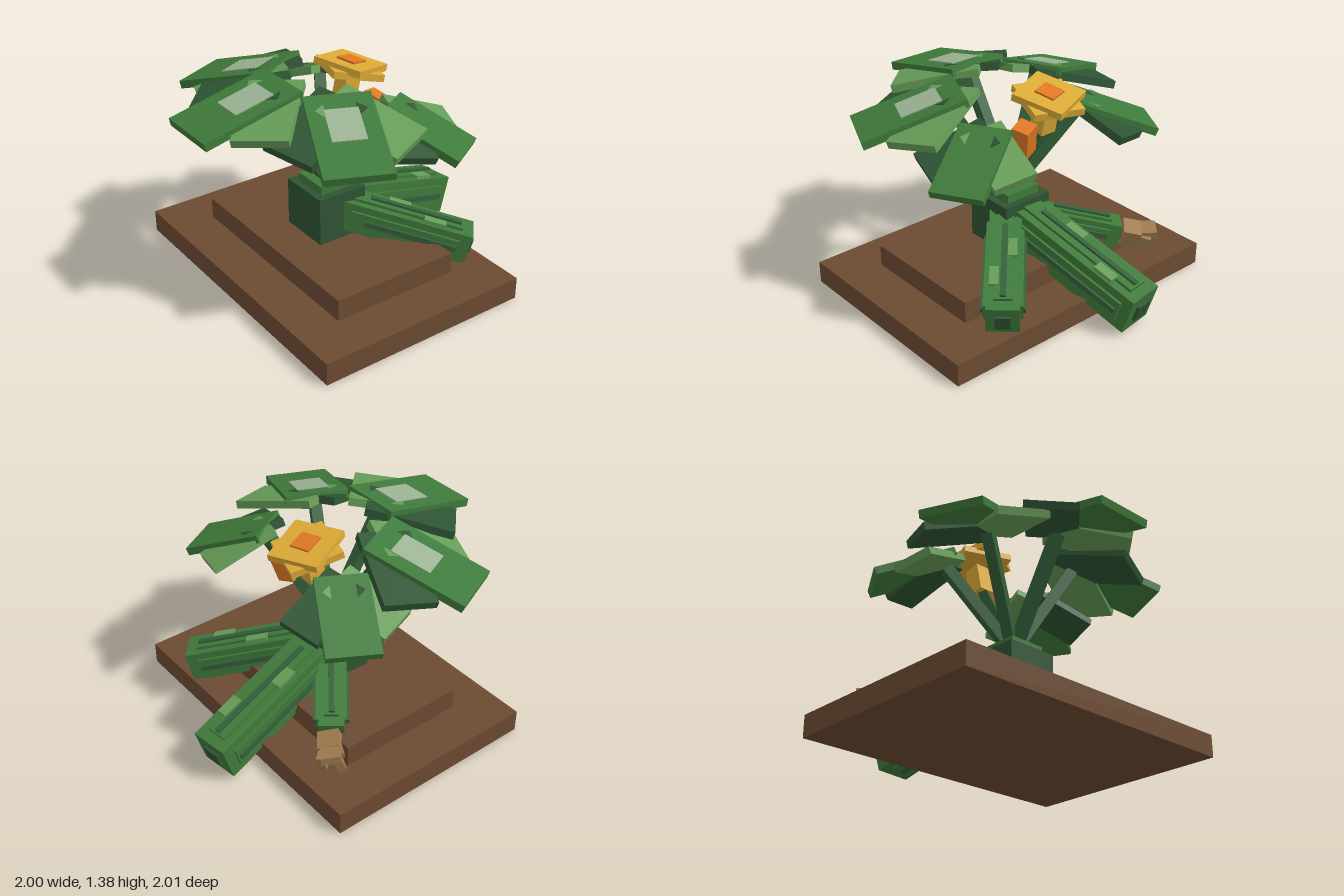
import * as THREE from 'three';

const mat = (name, color) => Object.assign(new THREE.MeshStandardMaterial({ color }), { name });

export function createModel() {
  const soil = mat('soil', 0x6b4a32);
  const darkGreen = mat('dark green', 0x2e5433);
  const stalkGreen = mat('stalk green', 0x34603a);
  const green = mat('leaf green', 0x3f7a3b);
  const lightGreen = mat('light green', 0x669c57);
  const pale = mat('pale leaf mark', 0x9bb394);
  const yellow = mat('petal yellow', 0xdcaa36);
  const orange = mat('orange', 0xe07824);
  const tan = mat('dried flower tan', 0xa07c50);

  const root = new THREE.Group();
  root.name = 'vegetablePlant';

  const box = (parent, name, material, size, pos, rot = [0, 0, 0]) => {
    const m = new THREE.Mesh(new THREE.BoxGeometry(...size), material);
    m.name = name;
    m.position.set(...pos);
    m.rotation.set(...rot);
    parent.add(m);
    return m;
  };
  const group = (name, pos, parent = root) => {
    const g = new THREE.Group();
    g.name = name;
    g.position.set(...pos);
    parent.add(g);
    return g;
  };
  // square bar running from a to b
  const beam = (name, material, a, b, w) => {
    const A = new THREE.Vector3(...a), B = new THREE.Vector3(...b);
    const m = box(root, name, material, [w, w, A.distanceTo(B)], A.clone().lerp(B, 0.5).toArray());
    m.lookAt(B);
  };

  // stepped soil bed and central stem
  box(root, 'soilBase', soil, [2, 0.145, 1.425], [0, 0.0725, 0.05]);
  box(root, 'soilMound', soil, [1.43, 0.14, 0.855], [0, 0.215, 0.052]);
  box(root, 'stem', darkGreen, [0.35, 0.32, 0.34], [0, 0.44, 0.055]);
  box(root, 'stemCap', green, [0.25, 0.055, 0.25], [0, 0.6275, 0.055]);

  // leaves: a main plate over two side lobes, arranged around the stem
  const crown = [0, 0.62, 0.055];
  const leaf = (dx, dz, r, y, pitch, scale, marked) => {
    const turn = group('leaf', [0, 0, 0.055]);
    turn.rotation.y = Math.atan2(dx, dz);
    const g = group('leafBlade', [0, y, r], turn);
    g.rotation.x = pitch;
    g.scale.set(scale, 1, scale);
    box(g, 'mainBlade', green, [0.4, 0.05, 0.66], [0, 0, 0]);
    for (const s of [-1, 1]) {
      const lobe = group('lobe', [s * 0.155, -0.025, -0.115], g);
      lobe.rotation.z = -s * 0.1;
      box(lobe, 'sideLobe', s > 0 ? lightGreen : darkGreen, [0.33, 0.05, 0.55], [0, 0, 0], [0, s * Math.PI / 4, 0]);
    }
    if (marked) box(g, 'leafMark', pale, [0.2, 0.008, 0.26], [0, 0.028, -0.07]);
    const q = r - 0.22;
    beam('leafStalk', stalkGreen, crown, [dx * q, y + 0.2 * pitch - 0.03, 0.055 + dz * q], 0.07);
  };
  leaf(0, 1, 0.62, 1.28, 0.22, 1, true);
  for (const s of [-1, 1]) {
    leaf(s * 0.91, 0.41, 0.62, 1.225, 0.3, 1, true);
    leaf(s * 0.865, -0.5, 0.646, 1.1, 0.4, 0.8, false);
  }

  // open flower
  beam('flowerStalk', stalkGreen, crown, [-0.09, 1.1, -0.14], 0.06);
  const flower = group('flower', [-0.09, 1.29, -0.19]);
  flower.rotation.x = -0.22;
  box(flower, 'flowerTube', yellow, [0.11, 0.22, 0.11], [0, -0.12, 0]);
  box(flower, 'lowerPetals', yellow, [0.33, 0.045, 0.33], [0, -0.015, 0], [0, -0.28, 0]);
  box(flower, 'upperPetals', yellow, [0.33, 0.045, 0.33], [0, 0.015, 0], [0, 0.38, 0]);
  box(flower, 'flowerCentre', orange, [0.13, 0.02, 0.13], [0, 0.04, 0], [0, 0.3, 0]);

  // closed bud
  beam('budStalk', stalkGreen, crown, [0.1, 1.02, -0.17], 0.06);
  box(root, 'flowerBud', orange, [0.11, 0.2, 0.11], [0.11, 1.085, -0.2], [-0.2, 0.35, -0.2]);

  // ribbed fruits lying on the soil
  const fruit = (a, b, w, marks) => {
    const A = new THREE.Vector3(...a), B = new THREE.Vector3(...b), L = A.distanceTo(B);
    const g = group('fruit', A.clone().lerp(B, 0.5).toArray());
    g.lookAt(B);
    box(g, 'fruitBody', green, [w, w, L], [0, 0, 0]);
    box(g, 'sideRidges', green, [w + 0.035, w * 0.55, L - 0.14], [0, 0, 0]);
    box(g, 'topRidges', green, [w * 0.55, w + 0.035, L - 0.14], [0, 0, 0]);
    for (let i = 0; i < 4; i++) {
      const c = (w + 0.045) / 2, t = i * Math.PI / 2;
      box(g, 'rib', stalkGreen, [0.035, 0.02, L - 0.25], [-c * Math.sin(t), c * Math.cos(t), 0.04], [0, 0, t]);
    }
    for (const [x, z] of marks) {
      box(g, 'fruitMark', lightGreen, [w * 0.28, 0.03, 0.14], [x * w, w / 2 + 0.008, z * L]);
    }
    box(g, 'blossomEnd', darkGreen, [w * 0.45, w * 0.45, 0.02], [0, 0, L / 2 + 0.008]);
  };
  fruit([-0.02, 0.45, 0], [-0.155, 0.15, -0.95], 0.25, [[-0.3, 0.24], [0.22, -0.1]]);
  fruit([0.08, 0.44, 0], [0.62, 0.23, -0.6], 0.2, [[-0.28, 0.2], [0.25, -0.08]]);
  fruit([-0.08, 0.43, 0], [-0.55, 0.28, -0.37], 0.155, []);

  // dried flower on the youngest fruit
  const dried = group('driedFlower', [-0.61, 0.265, -0.42]);
  dried.lookAt(-1.08, 0.12, -0.79);
  box(dried, 'driedBase', tan, [0.13, 0.13, 0.12], [0, 0, 0], [0, 0, 0.3]);
  box(dried, 'driedPetal', tan, [0.12, 0.05, 0.14], [0, 0.045, 0.09], [-0.25, 0, 0.2]);
  box(dried, 'driedPetal', tan, [0.05, 0.12, 0.12], [0.04, -0.02, 0.09], [0, 0.25, 0.3]);
  box(dried, 'driedPetal', tan, [0.05, 0.1, 0.1], [-0.045, -0.02, 0.08], [0, -0.25, 0.2]);

  return root;
}
